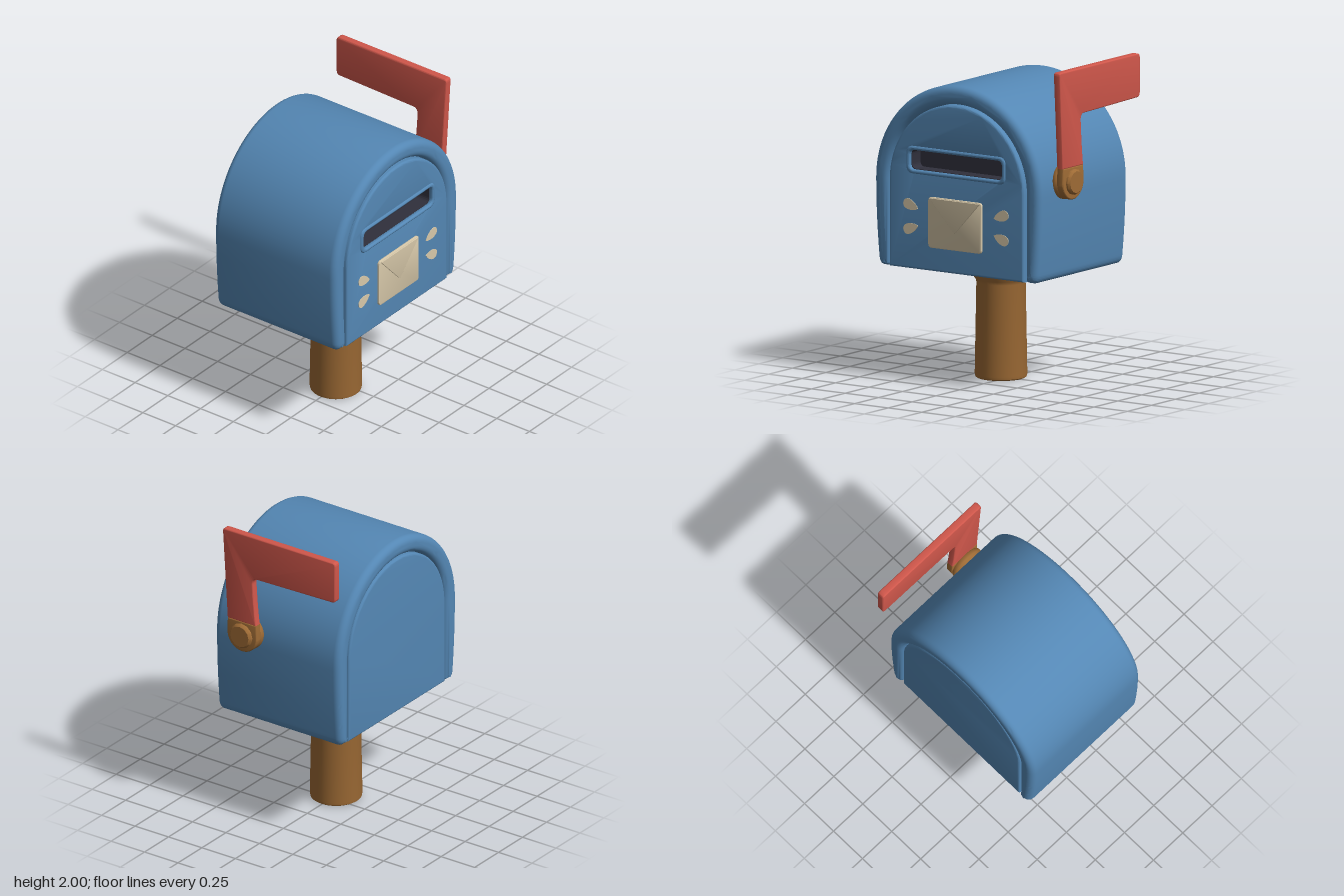
import * as THREE from 'three';
import { toCreasedNormals } from 'three/addons/utils/BufferGeometryUtils.js';

const CX = -0.05; // centre line of box and post

const paint = (name, color) => {
  const m = new THREE.MeshStandardMaterial({ color });
  m.name = name;
  return m;
};

function add(group, name, geometry, material) {
  const mesh = new THREE.Mesh(geometry, material);
  mesh.name = name;
  group.add(mesh);
  return mesh;
}

// Extrusion between z0 and z1 with rounded edges that stay inside the outline
function slab(shape, z0, z1, bevel = 0, segments = 4) {
  const g = new THREE.ExtrudeGeometry(shape, {
    depth: z1 - z0 - 2 * bevel, bevelEnabled: bevel > 0, bevelThickness: bevel,
    bevelSize: bevel, bevelOffset: -bevel, bevelSegments: segments, curveSegments: 24,
  });
  g.translate(0, 0, z0 + bevel);
  return toCreasedNormals(g, 0.55);
}

function roundedRect(x0, y0, x1, y1, r, target = new THREE.Shape()) {
  target.moveTo(x0 + r, y0);
  target.lineTo(x1 - r, y0);
  target.quadraticCurveTo(x1, y0, x1, y0 + r);
  target.lineTo(x1, y1 - r);
  target.quadraticCurveTo(x1, y1, x1 - r, y1);
  target.lineTo(x0 + r, y1);
  target.quadraticCurveTo(x0, y1, x0, y1 - r);
  target.lineTo(x0, y0 + r);
  target.quadraticCurveTo(x0, y0, x0 + r, y0);
  return target;
}

const SPRING = 1.24; // height where the round top begins

// Arched door outline
function archShape(w, base) {
  const s = new THREE.Shape();
  s.moveTo(-w, base);
  s.lineTo(w, base);
  s.lineTo(w, SPRING);
  s.absarc(0, SPRING, w, 0, Math.PI, false);
  s.lineTo(-w, base);
  return s;
}

// Bulging horseshoe wall around the doors
function shellShape() {
  const s = new THREE.Shape(), w = 0.62, i = 0.505, b = 0.7;
  s.moveTo(i, b + 0.02);
  s.quadraticCurveTo(i, b, i + 0.02, b);
  s.lineTo(0.555, b);
  s.quadraticCurveTo(0.588, b, 0.595, b + 0.05);
  s.quadraticCurveTo(w, 1.0, w, SPRING);
  s.absarc(0, SPRING, w, 0, Math.PI, false);
  s.quadraticCurveTo(-w, 1.0, -0.595, b + 0.05);
  s.quadraticCurveTo(-0.588, b, -0.555, b);
  s.lineTo(-i - 0.02, b);
  s.quadraticCurveTo(-i, b, -i, b + 0.02);
  s.lineTo(-i, SPRING);
  s.absarc(0, SPRING, i, Math.PI, 0, true);
  s.lineTo(i, b + 0.02);
  return s;
}

function lathe(points, segments = 40) {
  const g = new THREE.LatheGeometry(points.map(p => new THREE.Vector2(...p)), segments);
  return toCreasedNormals(g, 0.7);
}

export function createModel() {
  const blue = paint('blue paint', 0x5487b4);
  const red = paint('red paint', 0xd0574b);
  const wood = paint('brown wood', 0x9e6b35);
  const cream = paint('cream paint', 0xd8c9aa);
  const dark = paint('dark interior', 0x30303c);

  const model = new THREE.Group();
  model.name = 'mailbox';

  // Box: wall, core, back panel and slotted front door
  const box = new THREE.Group();
  box.name = 'box';
  box.position.x = CX;
  model.add(box);
  add(box, 'outerShell', slab(shellShape(), -0.465, 0.467, 0.045, 6), blue);
  add(box, 'backPanelAndCore', slab(archShape(0.502, 0.703), -0.457, 0.36, 0.015), blue);
  const door = archShape(0.502, 0.703);
  door.holes.push(roundedRect(-0.345, 1.315, 0.345, 1.44, 0.035, new THREE.Path()));
  add(box, 'frontDoor', slab(door, 0.355, 0.47, 0.015), blue);

  // Letter slot
  const lip = roundedRect(-0.37, 1.292, 0.37, 1.463, 0.05);
  lip.holes.push(roundedRect(-0.343, 1.318, 0.343, 1.438, 0.035, new THREE.Path()));
  add(box, 'slotLip', slab(lip, 0.45, 0.48, 0.012), blue);
  const slotBack = add(box, 'slotInterior', new THREE.PlaneGeometry(0.7, 0.15), dark);
  slotBack.position.set(0, 1.378, 0.362);
  const liner = roundedRect(-0.348, 1.312, 0.348, 1.443, 0.035);
  liner.holes.push(roundedRect(-0.342, 1.319, 0.342, 1.437, 0.035, new THREE.Path()));
  add(box, 'slotLiner', slab(liner, 0.358, 0.452), dark);

  // Envelope with folded flap
  const envelope = new THREE.Group();
  envelope.name = 'envelope';
  box.add(envelope);
  add(envelope, 'envelopeBody', slab(roundedRect(-0.2, 0.85, 0.198, 1.163, 0.025), 0.465, 0.484, 0.004, 2), cream);
  const flap = new THREE.Shape();
  flap.moveTo(-0.19, 1.158);
  flap.lineTo(-0.012, 0.965);
  flap.quadraticCurveTo(0, 0.953, 0.012, 0.965);
  flap.lineTo(0.19, 1.158);
  flap.lineTo(-0.19, 1.158);
  add(envelope, 'envelopeFlap', slab(flap, 0.482, 0.491, 0.004, 2), cream);

  // Painted drops either side of the envelope
  const drop = new THREE.Shape();
  drop.moveTo(-0.055, 0);
  drop.bezierCurveTo(-0.03, 0.03, 0.055, 0.055, 0.058, 0);
  drop.bezierCurveTo(0.055, -0.055, -0.03, -0.03, -0.055, 0);
  for (const side of [-1, 1]) {
    for (const up of [-1, 1]) {
      const d = add(box, 'paintedDrop', slab(drop, 0, 0.007), cream);
      d.position.set(side * 0.335, 1.025 + up * 0.07, 0.467);
      d.rotation.z = side > 0 ? up * 0.33 : Math.PI - up * 0.33;
    }
  }

  // Post with flared collar, and the dark socket under the box
  const post = add(model, 'post', lathe([
    [0, 0], [0.145, 0], [0.157, 0.008], [0.16, 0.025], [0.15, 0.59], [0.155, 0.61],
    [0.175, 0.635], [0.181, 0.665], [0.181, 0.71], [0, 0.71],
  ]), wood);
  post.position.x = CX;
  const socket = add(model, 'postSocket', new THREE.CylinderGeometry(0.235, 0.235, 0.009, 40), dark);
  socket.position.set(CX, 0.7035, 0);

  // Flag on the left side, drawn in (-z, y) and turned to face +x
  const flag = new THREE.Group();
  flag.name = 'flag';
  flag.rotation.y = Math.PI / 2;
  model.add(flag);
  const arm = new THREE.Shape();
  arm.moveTo(-0.318, 1.4);
  arm.lineTo(-0.105, 1.4);
  arm.quadraticCurveTo(-0.12, 1.5, -0.13, 1.68);
  arm.quadraticCurveTo(-0.13, 1.715, -0.1, 1.718);
  arm.lineTo(0.46, 1.73);
  arm.quadraticCurveTo(0.488, 1.73, 0.488, 1.76);
  arm.lineTo(0.488, 1.975);
  arm.quadraticCurveTo(0.488, 2, 0.463, 2);
  arm.lineTo(-0.335, 2);
  arm.quadraticCurveTo(-0.355, 2, -0.353, 1.975);
  arm.lineTo(-0.318, 1.4);
  add(flag, 'flagArm', slab(arm, 0.593, 0.641, 0.008, 3), red);
  const foot = new THREE.Shape();
  foot.moveTo(-0.318, 1.402);
  foot.lineTo(-0.32, 1.31);
  foot.absarc(-0.21, 1.31, 0.11, Math.PI, Math.PI * 2, false);
  foot.lineTo(-0.105, 1.402);
  foot.lineTo(-0.318, 1.402);
  add(flag, 'flagFoot', slab(foot, 0.593, 0.641, 0.008, 3), wood);

  // Pivot: washer against the wall and a bolt head outside
  const pivot = new THREE.Group();
  pivot.name = 'flagPivot';
  pivot.position.set(0, 1.31, 0.21);
  pivot.rotation.z = -Math.PI / 2;
  model.add(pivot);
  add(pivot, 'washer', lathe([[0, 0.53], [0.085, 0.53], [0.112, 0.565], [0.112, 0.585], [0.1, 0.6], [0, 0.6]]), wood);
  add(pivot, 'boltHead', lathe([[0, 0.63], [0.08, 0.63], [0.08, 0.652], [0.068, 0.666], [0, 0.666]], 12), wood);

  return model;
}
